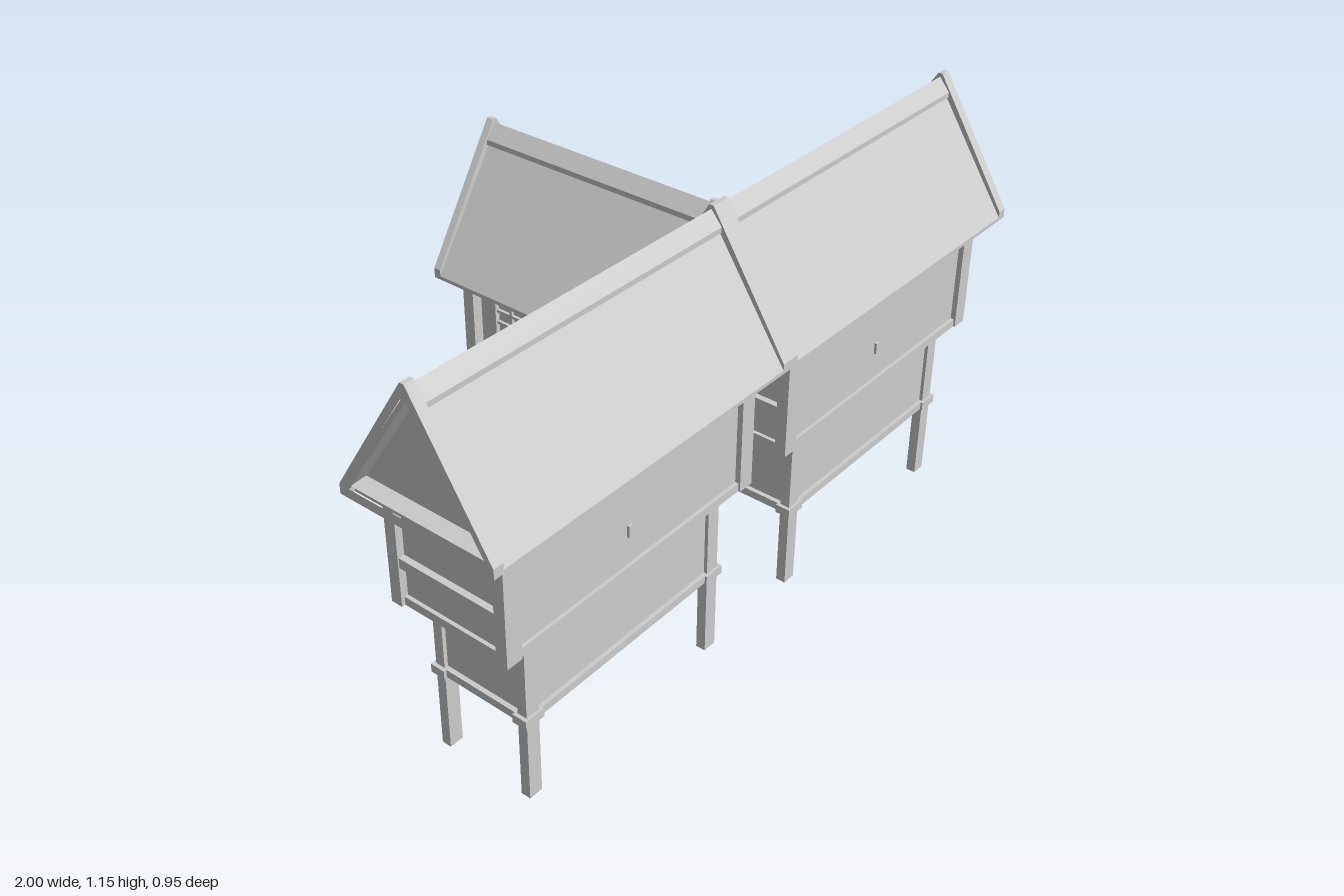
import * as THREE from 'three';

const mat = new THREE.MeshStandardMaterial({ color: 0xcccccc, flatShading: true });
const thinMat = new THREE.MeshStandardMaterial({ color: 0xcccccc, flatShading: true, side: THREE.DoubleSide });

function add(parent, name, geo, material = mat) {
  const m = new THREE.Mesh(geo, material);
  m.name = name;
  parent.add(m);
  return m;
}

// box given by its min and max on each axis
function box(parent, name, x0, x1, y0, y1, z0, z1) {
  const m = add(parent, name, new THREE.BoxGeometry(x1 - x0, y1 - y0, z1 - z0));
  m.position.set((x0 + x1) / 2, (y0 + y1) / 2, (z0 + z1) / 2);
  return m;
}

// flat bar between two points (x, y) at depth z
function bar(parent, name, xa, ya, xb, yb, z, w = 0.008) {
  const m = add(parent, name, new THREE.BoxGeometry(Math.hypot(xb - xa, yb - ya), w, 0.008));
  m.position.set((xa + xb) / 2, (ya + yb) / 2, z);
  m.rotation.z = Math.atan2(yb - ya, xb - xa);
  return m;
}

const poly = pts => pts.map(([a, b]) => new THREE.Vector2(a, b));

// profile in (z, y), extruded along x from x0 to x1
function extrudeX(parent, name, pts, x0, x1, hole) {
  const s = new THREE.Shape(poly(pts.map(([z, y]) => [-z, y])));
  if (hole) s.holes.push(new THREE.Path(poly(hole.map(([z, y]) => [-z, y]))));
  const g = new THREE.ExtrudeGeometry(s, { depth: x1 - x0, bevelEnabled: false });
  g.rotateY(Math.PI / 2);
  g.translate(x0, 0, 0);
  return add(parent, name, g);
}

// sloped lining between two triangles at xa and xb
function lining(parent, ta, xa, tb, xb) {
  const v = [], idx = [];
  ta.forEach(([z, y]) => v.push(xa, y, z));
  tb.forEach(([z, y]) => v.push(xb, y, z));
  for (let i = 0; i < 3; i++) {
    const j = (i + 1) % 3;
    idx.push(i, j, 3 + j, i, 3 + j, 3 + i);
  }
  const g = new THREE.BufferGeometry();
  g.setAttribute('position', new THREE.Float32BufferAttribute(v, 3));
  g.setIndex(idx);
  g.computeVertexNormals();
  add(parent, 'gableLining', g, thinMat);
}

function lowerStorey(w) {
  box(w, 'lowerWalls', -0.335, 0.335, 0.24, 0.465, -0.132, 0.132);
  for (const s of [-1, 1]) {
    const z = s * 0.135, x = s * 0.338;
    box(w, 'sillBeam', -0.34, 0.34, 0.228, 0.25, z - 0.008, z + 0.008);
    box(w, 'sillBeam', x - 0.01, x + 0.01, 0.228, 0.25, -0.14, 0.14);
    for (const t of [-1, 1]) {
      const px = s * 0.326, pz = t * 0.128;
      box(w, 'stilt', px - 0.02, px + 0.02, 0, 0.465, pz - 0.0135, pz + 0.0135);
      box(w, 'stiltCollar', px - 0.03, px + 0.03, 0.226, 0.25, pz - 0.021, pz + 0.021);
      box(w, 'stiltHead', px - 0.03, px + 0.03, 0.46, 0.473, pz - 0.021, pz + 0.021);
    }
  }
  // storage door on the rear side
  box(w, 'storageDoor', -0.17, 0.15, 0.255, 0.445, -0.137, -0.13);
  box(w, 'storageHandle', 0.115, 0.128, 0.33, 0.365, -0.145, -0.13);
}

function upperStorey(w) {
  box(w, 'floorPlate', -0.42, 0.42, 0.472, 0.495, -0.17, 0.17);
  box(w, 'topPlate', -0.42, 0.42, 0.768, 0.787, -0.17, 0.17);
  box(w, 'upperWalls', -0.41, 0.41, 0.49, 0.775, -0.145, 0.16);
  for (const s of [-1, 1]) {
    const x = s * 0.415;
    box(w, 'endRail', x - 0.012, x + 0.012, 0.58, 0.607, -0.15, 0.15);
    for (const t of [-1, 1]) {
      const px = s * 0.407, pz = t * 0.159;
      box(w, 'cornerColumn', px - 0.023, px + 0.023, 0.472, 0.78, pz - 0.016, pz + 0.016);
      box(w, 'columnCap', px - 0.037, px + 0.037, 0.77, 0.787, pz - 0.025, pz + 0.025);
    }
  }
  // large sliding panel on the front side
  box(w, 'frontPanel', -0.38, 0, 0.5, 0.755, 0.155, 0.165);
  box(w, 'frontHandle', -0.027, -0.013, 0.578, 0.61, 0.16, 0.172);

  // rear veranda: posts, lattice railing, window and doors
  for (const x of [-0.02, -0.175, -0.345]) box(w, 'rearPost', x - 0.01, x + 0.01, 0.49, 0.775, -0.168, -0.14);
  for (const y of [0.502, 0.588]) box(w, 'railing', -0.02, 0.39, y - 0.006, y + 0.006, -0.172, -0.158);
  const n = 5, step = 0.4 / n;
  for (let i = 0; i < n; i++) {
    const a = -0.015 + i * step, b = a + step;
    bar(w, 'railingLattice', a, 0.505, b, 0.585, -0.164);
    bar(w, 'railingLattice', a, 0.585, b, 0.505, -0.166);
  }
  for (const x of [0.155, 0.305]) box(w, 'windowFrame', x - 0.007, x + 0.007, 0.605, 0.74, -0.158, -0.14);
  for (const y of [0.605, 0.74]) box(w, 'windowFrame', 0.148, 0.312, y - 0.007, y + 0.007, -0.158, -0.14);
  for (let i = 1; i < 4; i++) box(w, 'windowSlat', 0.155, 0.305, 0.603 + i * 0.034, 0.611 + i * 0.034, -0.153, -0.14);
  box(w, 'windowMullion', 0.225, 0.235, 0.605, 0.74, -0.154, -0.14);
  for (const x of [0.01, 0.085]) box(w, 'wallPanel', x, x + 0.055, 0.6, 0.755, -0.149, -0.14);
  box(w, 'wallPanel', -0.33, -0.19, 0.5, 0.76, -0.155, -0.14);
  for (const [a, b] of [[-0.155, -0.04], [-0.383, -0.357]]) {
    box(w, 'doorLeaf', a, b, 0.5, 0.755, -0.151, -0.14);
    bar(w, 'doorBrace', a + 0.005, 0.56, b - 0.005, 0.7, -0.154, 0.01);
  }
}

function roof(w) {
  const H = 0.2225;
  extrudeX(w, 'roofBody', [[-H, 0.785], [H, 0.785], [H, 0.795], [0, 1.13], [-H, 0.795]], -0.45, 0.45);
  // roof slopes carry on out to the verge boards
  const k = 0.335 / H;
  extrudeX(w, 'roofCovering', [[-H, 0.785], [-H, 0.795], [0, 1.13], [H, 0.795], [H, 0.785],
    [0.205, 0.785], [0.205, 0.8], [0, 1.11], [-0.205, 0.8], [-0.205, 0.785]], -0.49, 0.49);
  extrudeX(w, 'ridgeCap', [[-0.031, 1.092], [-0.031, 1.106], [0, 1.143], [0.031, 1.106], [0.031, 1.092],
    [0, 1.092 + 0.031 * k - 0.01]], -0.485, 0.485);
  const outer = [[-H, 0.785], [H, 0.785], [H, 0.812], [0.006, 1.153], [-0.006, 1.153], [-H, 0.812]];
  const hole = [[-0.205, 0.81], [0.205, 0.81], [0, 1.125]];
  const inner = [[-0.19, 0.82], [0.19, 0.82], [0, 1.107]];
  for (const s of [-1, 1]) {
    extrudeX(w, 'vergeBoards', outer, s > 0 ? 0.472 : -0.5, s > 0 ? 0.5 : -0.472, hole);
    lining(w, hole, s * 0.49, inner, s * 0.452);
    box(w, 'gableSill', s > 0 ? 0.44 : -0.475, s > 0 ? 0.475 : -0.44, 0.785, 0.81, -0.205, 0.205);
  }
}

function makeWing(name) {
  const w = new THREE.Group();
  w.name = name;
  lowerStorey(w);
  upperStorey(w);
  roof(w);
  return w;
}

export function createModel() {
  const model = new THREE.Group();
  model.name = 'stiltHouse';
  for (const [name, x] of [['leftWing', 0.5], ['rightWing', -0.5]]) {
    const w = makeWing(name);
    w.position.set(x, 0, 0.253);
    model.add(w);
  }
  // shorter wing turned to the back
  const back = makeWing('backWing');
  back.rotation.y = Math.PI / 2;
  back.scale.x = 0.73;
  back.position.set(0, 0, -0.112);
  model.add(back);
  return model;
}
